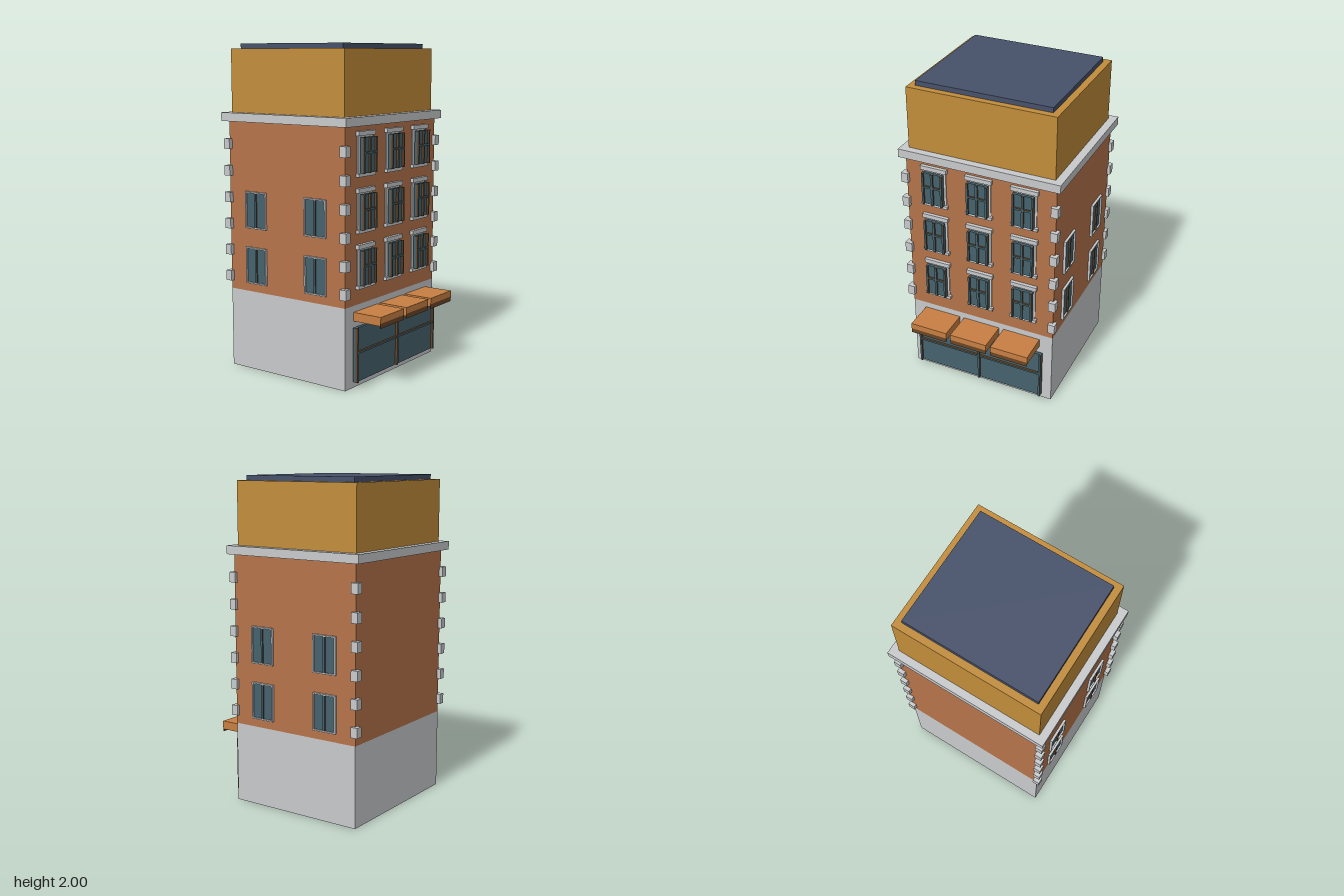
import * as THREE from 'three';

const mat = (name, color) => {
  const m = new THREE.MeshStandardMaterial({ color });
  m.name = name;
  return m;
};

export function createModel() {
  const brick = mat('brick', 0xb5734a);
  const stone = mat('stone', 0xc8cacc);
  const ochre = mat('ochre', 0xc28d3b);
  const navy = mat('navy', 0x465169);
  const glass = mat('glass', 0x45626c);
  const orange = mat('orange', 0xc77f42);
  const brown = mat('brown', 0x6a4526);
  // Glazing bars: brown edges, faces matching the glass
  const bar = [brown, brown, brown, brown, glass, glass];

  const root = new THREE.Group();
  root.name = 'townBuilding';

  // Box given by its extents on each axis
  const box = (parent, name, material, [x0, x1], [y0, y1], [z0, z1]) => {
    const mesh = new THREE.Mesh(new THREE.BoxGeometry(x1 - x0, y1 - y0, z1 - z0), material);
    mesh.position.set((x0 + x1) / 2, (y0 + y1) / 2, (z0 + z1) / 2);
    mesh.name = name;
    parent.add(mesh);
    return mesh;
  };
  const group = (name, x, y, z, turn = 0) => {
    const g = new THREE.Group();
    g.name = name;
    g.position.set(x, y, z);
    g.rotation.y = turn;
    root.add(g);
    return g;
  };

  const FRONT = 0.358, BACK = -0.516, SIDE = 0.479;

  // Main masses
  box(root, 'groundFloor', stone, [-SIDE, SIDE], [0, 0.493], [BACK, FRONT]);
  box(root, 'upperWalls', brick, [-SIDE, SIDE], [0.493, 1.535], [BACK, FRONT]);
  box(root, 'cornice', stone, [-0.513, 0.511], [1.535, 1.587], [-0.552, 0.389]);
  box(root, 'atticStorey', ochre, [-0.465, 0.462], [1.587, 1.97], [-0.506, 0.342]);
  box(root, 'roofSlab', navy, [-0.424, 0.421], [1.97, 2], [-0.464, 0.301]);

  // Corner stones
  for (let i = 0; i < 6; i++) {
    const y = 0.577 + i * 0.164;
    for (const x of [-0.484, 0.476])
      for (const z of [0.36, -0.518])
        box(root, 'cornerStone', stone, [x - 0.022, x + 0.022], [y - 0.031, y + 0.031], [z - 0.022, z + 0.022]);
  }

  // Front windows
  for (let row = 0; row < 3; row++) {
    for (const x of [-0.291, -0.001, 0.288]) {
      const w = group('frontWindow', x, 0.711 + row * 0.328, FRONT);
      box(w, 'surround', stone, [-0.074, 0.074], [-0.104, 0.112], [0, 0.006]);
      box(w, 'pane', glass, [-0.066, 0.066], [-0.103, 0.104], [0.017, 0.035]);
      box(w, 'verticalBar', bar, [-0.007, 0.007], [-0.103, 0.104], [0.035, 0.047]);
      box(w, 'crossBar', bar, [-0.066, 0.066], [0.008, 0.02], [0.035, 0.046]);
      for (const s of [-0.06, 0.06])
        box(w, 'frameBar', bar, [s - 0.006, s + 0.006], [-0.103, 0.104], [0.035, 0.047]);
      box(w, 'lintel', stone, [-0.085, 0.085], [0.112, 0.138], [0, 0.022]);
      box(w, 'sill', stone, [-0.085, 0.085], [-0.124, -0.104], [0, 0.022]);
    }
  }

  // Side windows, on both flanks
  for (const side of [-1, 1]) {
    for (const y of [0.658, 1.001]) {
      for (const z of [0.146, -0.306]) {
        const w = group('sideWindow', side * SIDE, y, z, side * Math.PI / 2);
        box(w, 'pane', glass, [-0.071, 0.071], [-0.105, 0.105], [0, 0.005]);
        box(w, 'verticalBar', bar, [-0.006, 0.006], [-0.105, 0.105], [0.005, 0.014]);
        for (const s of [-1, 1]) {
          box(w, 'jamb', stone, [s * 0.075 - 0.004, s * 0.075 + 0.004], [-0.113, 0.113], [0, 0.015]);
          box(w, 'rail', stone, [-0.071, 0.071], [s * 0.109 - 0.004, s * 0.109 + 0.004], [0, 0.015]);
        }
      }
    }
  }

  // Shop window
  const shop = group('shopWindow', -0.002, 0.208, FRONT);
  box(shop, 'shopPane', glass, [-0.425, 0.425], [-0.163, 0.163], [0.017, 0.037]);
  for (const x of [-0.419, 0, 0.419])
    box(shop, 'verticalBar', bar, [x - 0.006, x + 0.006], [-0.163, 0.163], [0.037, 0.052]);
  box(shop, 'crossBar', bar, [-0.425, 0.425], [0.01, 0.022], [0.037, 0.05]);

  // Awnings with a valance along the front edge
  for (const x of [-0.275, -0.002, 0.272]) {
    const a = group('awning', x, 0, 0);
    box(a, 'canopy', orange, [-0.122, 0.122], [0.402, 0.455], [FRONT, 0.543]);
    box(a, 'canopyEdge', orange, [-0.122, 0.122], [0.417, 0.455], [0.543, 0.549]);
    box(a, 'valance', brown, [-0.122, 0.122], [0.388, 0.417], [0.543, 0.549]);
  }

  return root;
}
